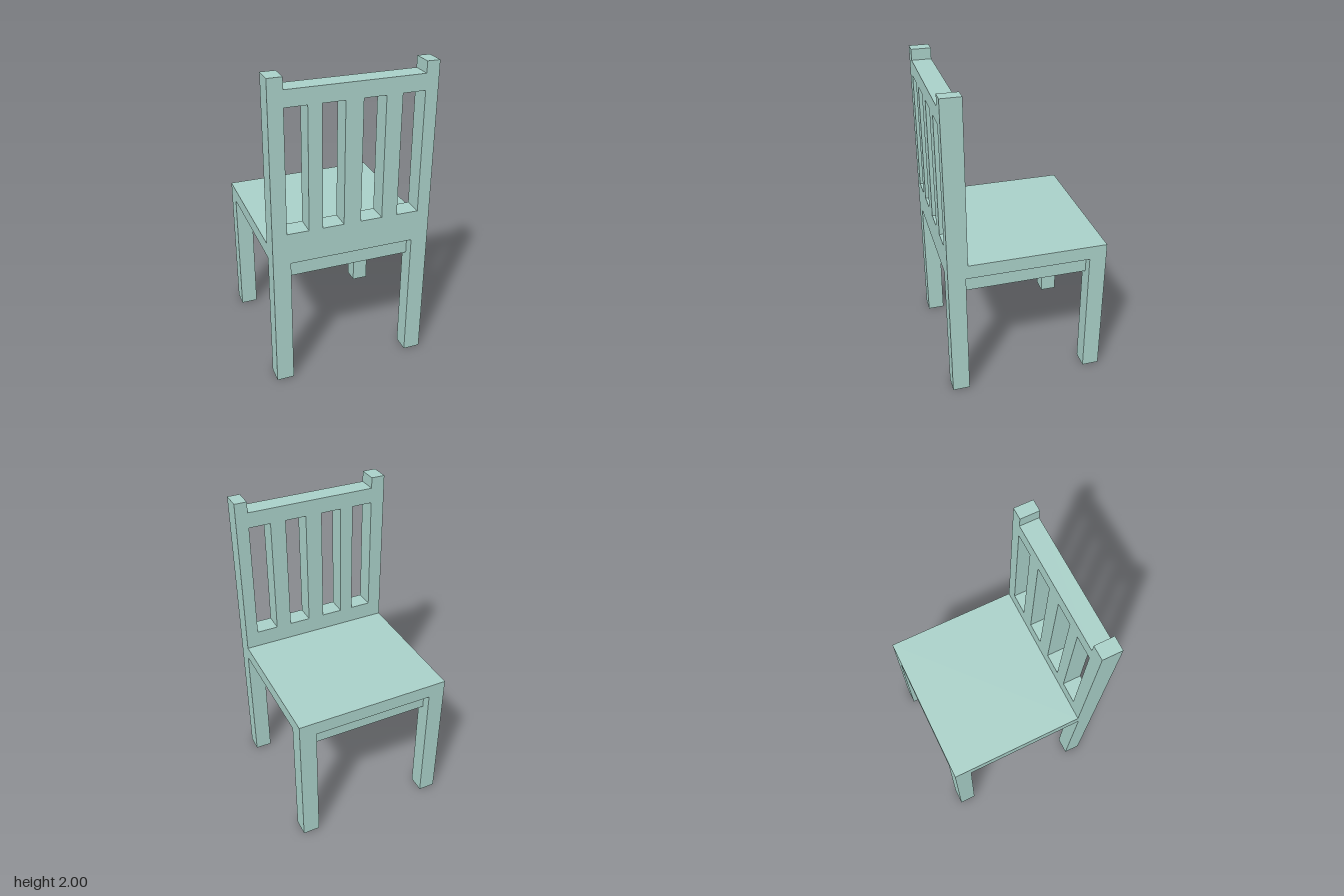
import * as THREE from 'three';

const HALF = 0.505;      // half width and half depth
const LEG = 0.11;        // leg thickness
const SEAT_BOTTOM = 0.86;
const SEAT_TOP = 0.95;
const BACK_Z = 0.38;     // inner face of the backrest

export function createModel() {
  const model = new THREE.Group();
  model.name = 'chair';
  const material = new THREE.MeshStandardMaterial({ color: 0xa9d0c8, flatShading: true });

  function add(name, geometry, x, y, z) {
    const mesh = new THREE.Mesh(geometry, material);
    mesh.name = name;
    mesh.position.set(x, y, z);
    model.add(mesh);
  }

  // Four square legs, flush with the corners of the seat
  const legAt = HALF - LEG / 2;
  for (const [sideName, sx] of [['Left', 1], ['Right', -1]]) {
    for (const [endName, sz] of [['slatted', 1], ['open', -1]]) {
      add(`${endName}End${sideName}Leg`, new THREE.BoxGeometry(LEG, SEAT_BOTTOM, LEG),
        sx * legAt, SEAT_BOTTOM / 2, sz * legAt);
    }
  }

  // Seat slab
  const seatDepth = HALF + BACK_Z;
  add('seat', new THREE.BoxGeometry(2 * HALF, SEAT_TOP - SEAT_BOTTOM, seatDepth),
    0, (SEAT_TOP + SEAT_BOTTOM) / 2, (BACK_Z - HALF) / 2);

  // Recessed solid apron under the seat
  const apronBottom = 0.735;
  add('apron', new THREE.BoxGeometry(0.89, SEAT_BOTTOM - apronBottom, 0.89),
    0, (SEAT_BOTTOM + apronBottom) / 2, 0);

  // Backrest outline: two posts rising above a top rail
  const back = new THREE.Shape([
    [-HALF, SEAT_BOTTOM], [HALF, SEAT_BOTTOM], [HALF, 2], [0.425, 2],
    [0.425, 1.93], [-0.415, 1.93], [-0.415, 2], [-HALF, 2],
  ].map(([x, y]) => new THREE.Vector2(x, y)));

  // Openings between the slats
  for (const [x0, x1] of [[-0.415, -0.28], [-0.195, -0.06], [0.048, 0.185], [0.285, 0.425]]) {
    back.holes.push(new THREE.Path([
      new THREE.Vector2(x0, 1.06), new THREE.Vector2(x0, 1.83),
      new THREE.Vector2(x1, 1.83), new THREE.Vector2(x1, 1.06),
    ]));
  }
  add('backrest', new THREE.ExtrudeGeometry(back, { depth: HALF - BACK_Z, bevelEnabled: false }),
    0, 0, BACK_Z);

  return model;
}
